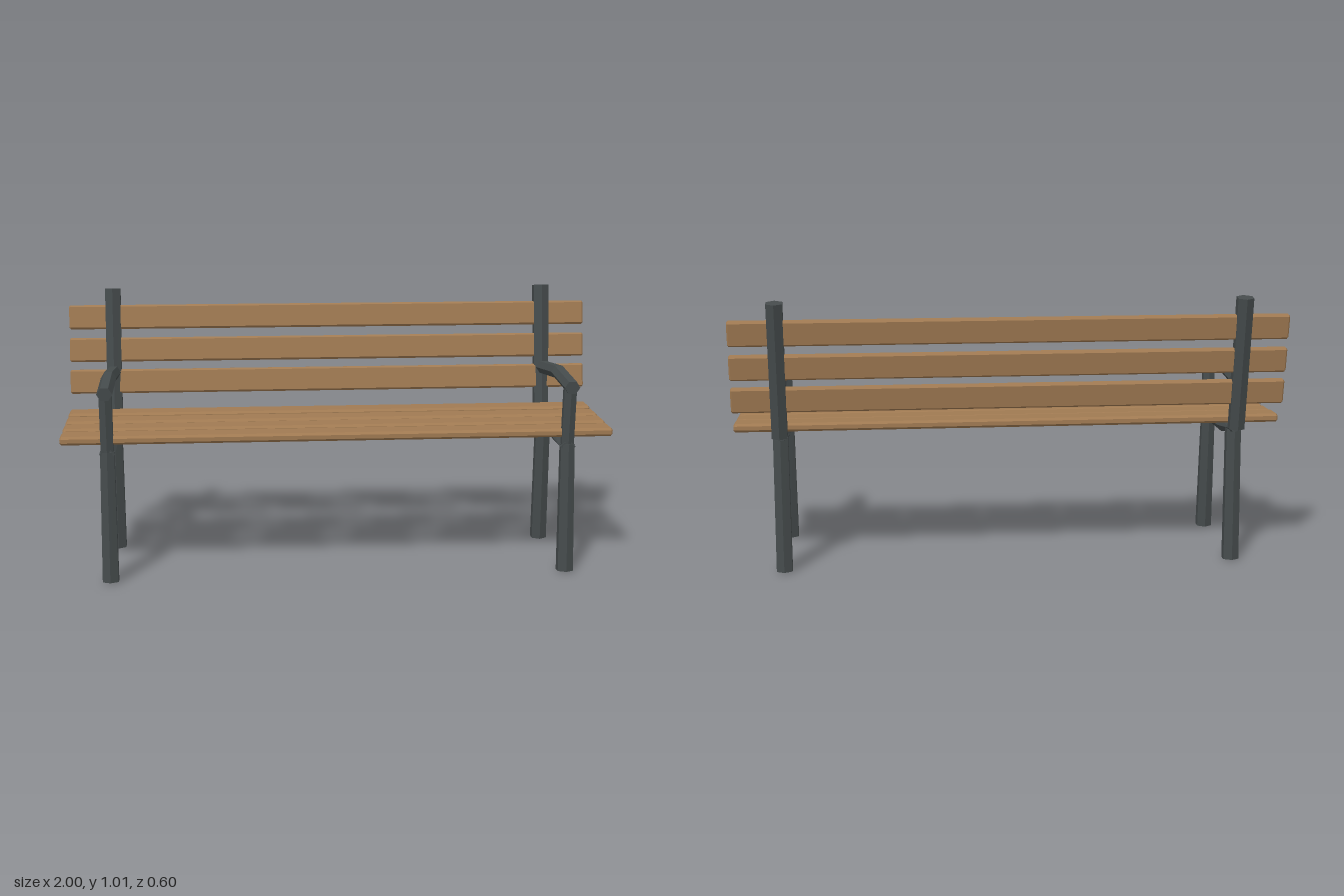
import * as THREE from 'three';

const wood = new THREE.MeshStandardMaterial({ color: 0xa07a52, flatShading: true });
wood.name = 'wood';
const metal = new THREE.MeshStandardMaterial({ color: 0x454b4c, flatShading: true });
metal.name = 'darkMetal';

// Six-sided bar lofted through stations [z, y, halfWidthX, radiusInPlane].
// phase turns the hexagon: 0 puts corners at the sides, PI / 6 puts flats there.
function hexBar(stations, phase) {
  const pos = [], idx = [], n = 6, last = stations.length - 1;
  stations.forEach(([z, y, rx, rn], s) => {
    const a = stations[Math.max(0, s - 1)], b = stations[Math.min(last, s + 1)];
    const len = Math.hypot(b[0] - a[0], b[1] - a[1]);
    const tz = (b[0] - a[0]) / len, ty = (b[1] - a[1]) / len;
    for (let i = 0; i < n; i++) {
      const t = phase + (i * Math.PI * 2) / n, c = Math.cos(t) * rx, d = Math.sin(t) * rn;
      pos.push(c, y + tz * d, z - ty * d);
    }
  });
  for (let s = 0; s < last; s++) {
    for (let i = 0; i < n; i++) {
      const a = s * n + i, b = s * n + ((i + 1) % n);
      idx.push(a, b, b + n, a, b + n, a + n);
    }
  }
  for (let i = 1; i < n - 1; i++) {
    idx.push(0, i + 1, i, last * n, last * n + i, last * n + i + 1);
  }
  const g = new THREE.BufferGeometry();
  g.setAttribute('position', new THREE.Float32BufferAttribute(pos, 3));
  g.setIndex(idx);
  const flat = g.toNonIndexed();
  flat.computeVertexNormals();
  return flat;
}

// Long plank with chamfered edges and ends, running along x
function plankGeometry(length, height, depth, c) {
  const h = height / 2 - c, d = depth / 2 - c, k = c * 0.6;
  const shape = new THREE.Shape([
    [-d - c + k, -h], [-d, -h - c + k], [d, -h - c + k], [d + c - k, -h],
    [d + c - k, h], [d, h + c - k], [-d, h + c - k], [-d - c + k, h],
  ].map(([x, y]) => new THREE.Vector2(x, y)));
  const g = new THREE.ExtrudeGeometry(shape, {
    depth: length - 2 * k, bevelEnabled: true, bevelThickness: k, bevelSize: k, bevelSegments: 1,
  });
  g.translate(0, 0, -length / 2 + k);
  g.rotateY(Math.PI / 2);
  return g;
}

export function createModel() {
  const model = new THREE.Group();
  model.name = 'bench';
  const add = (parent, geometry, material, name) => {
    const mesh = new THREE.Mesh(geometry, material);
    mesh.name = name;
    parent.add(mesh);
    return mesh;
  };

  // Metal end frames
  const turn = Math.PI / 6;
  const bars = {
    frontLeg: hexBar([[0.267, 0.001, 0.033, 0.033], [0.245, 0.475, 0.029, 0.027]], turn),
    backLeg: hexBar([[-0.178, 0.001, 0.033, 0.033], [-0.157, 0.5, 0.031, 0.03]], turn),
    seatRail: hexBar([
      [0.262, 0.468, 0.028, 0.017], [-0.035, 0.484, 0.028, 0.027], [-0.205, 0.511, 0.028, 0.015],
    ], 0),
    backPost: hexBar([[-0.2, 0.509, 0.032, 0.031], [-0.267, 1.002, 0.033, 0.033]], turn),
    armSupport: hexBar([[0.245, 0.475, 0.026, 0.022], [0.264, 0.69, 0.026, 0.023]], turn),
    armrest: hexBar([
      [0.298, 0.692, 0.028, 0.026], [0.08, 0.714, 0.028, 0.026], [-0.178, 0.69, 0.028, 0.026],
    ], 0),
  };
  for (const [side, x] of [['left', 0.833], ['right', -0.833]]) {
    const frame = new THREE.Group();
    frame.name = side + 'Frame';
    frame.position.x = x;
    for (const name in bars) add(frame, bars[name], metal, name);
    model.add(frame);
  }

  // Seat slats, rising slightly toward the back
  const seatSlat = plankGeometry(2, 0.031, 0.093, 0.011);
  [[0.21, 0.518], [0.1, 0.524], [-0.011, 0.529], [-0.122, 0.536]].forEach(([z, y], i) => {
    const slat = add(model, seatSlat, wood, 'seatSlat' + (i + 1));
    slat.position.set(0, y, z);
    slat.rotation.x = 0.02;
  });

  // Backrest slats, leaning back
  const backSlat = plankGeometry(2, 0.092, 0.028, 0.009);
  [[-0.214, 0.65], [-0.234, 0.77], [-0.252, 0.894]].forEach(([z, y], i) => {
    const slat = add(model, backSlat, wood, 'backSlat' + (i + 1));
    slat.position.set(0, y, z);
    slat.rotation.x = -0.15;
  });

  return model;
}
